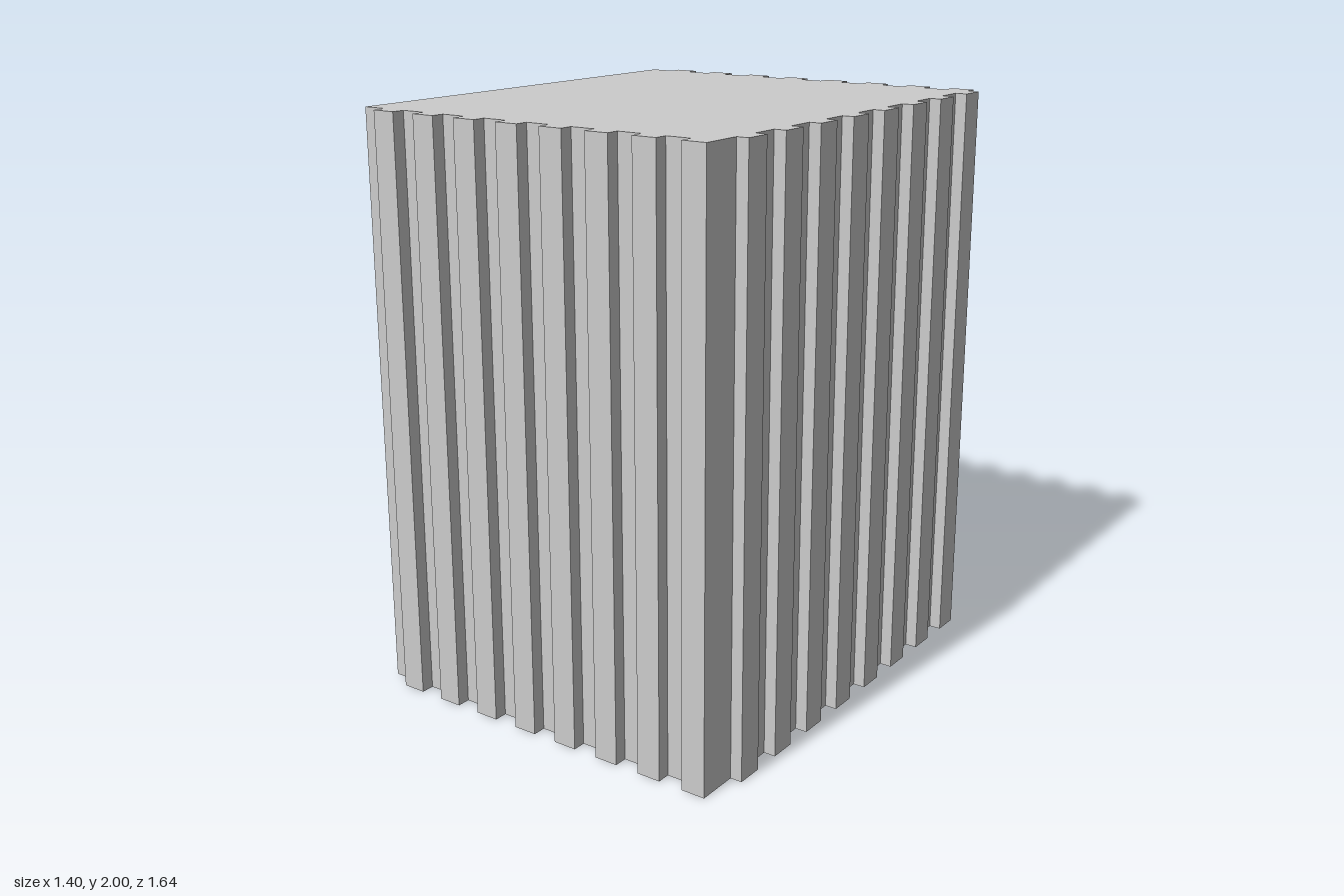
import * as THREE from 'three';

const HEIGHT = 2, RIBS = 8;
const LEFT = -0.7, RIGHT = 0.659, OUTER_X = 0.7; // core and rib extents across x
const CORE_Z = 0.774, OUTER_Z = 0.82;            // core and rib extents along z

export function createModel() {
  const group = new THREE.Group();
  const stepX = (RIGHT - LEFT) / RIBS, ribX = 0.084;
  const stepZ = (2 * CORE_Z) / RIBS, ribZ = 0.094;

  // Plan outline, drawn counter-clockwise with shape y = -z
  const pts = [[LEFT, -CORE_Z]];
  // front ribs, running towards +x
  for (let i = 1; i <= RIBS; i++) {
    const b = LEFT + i * stepX, a = b - ribX;
    pts.push([a, -CORE_Z], [a, -OUTER_Z], [b, -OUTER_Z], [b, -CORE_Z]);
  }
  // side ribs, running towards the back
  for (let i = 1; i <= RIBS; i++) {
    const b = -CORE_Z + i * stepZ, a = b - ribZ;
    pts.push([RIGHT, a], [OUTER_X, a], [OUTER_X, b], [RIGHT, b]);
  }
  // back ribs, running towards -x
  for (let i = RIBS; i >= 1; i--) {
    const b = LEFT + i * stepX, a = b - ribX;
    pts.push([b, CORE_Z], [b, OUTER_Z], [a, OUTER_Z], [a, CORE_Z]);
  }
  pts.push([LEFT, CORE_Z]);

  // drop repeated corner points
  const outline = pts
    .map(([x, y]) => new THREE.Vector2(x, y))
    .filter((p, i, all) => i === 0 || p.distanceTo(all[i - 1]) > 1e-4);

  const geometry = new THREE.ExtrudeGeometry(new THREE.Shape(outline), {
    depth: HEIGHT, bevelEnabled: false,
  });
  geometry.rotateX(-Math.PI / 2);

  const block = new THREE.Mesh(
    geometry,
    new THREE.MeshStandardMaterial({ color: 0xcccccc, flatShading: true })
  );
  block.name = 'ribbedBlock';
  group.add(block);
  return group;
}
